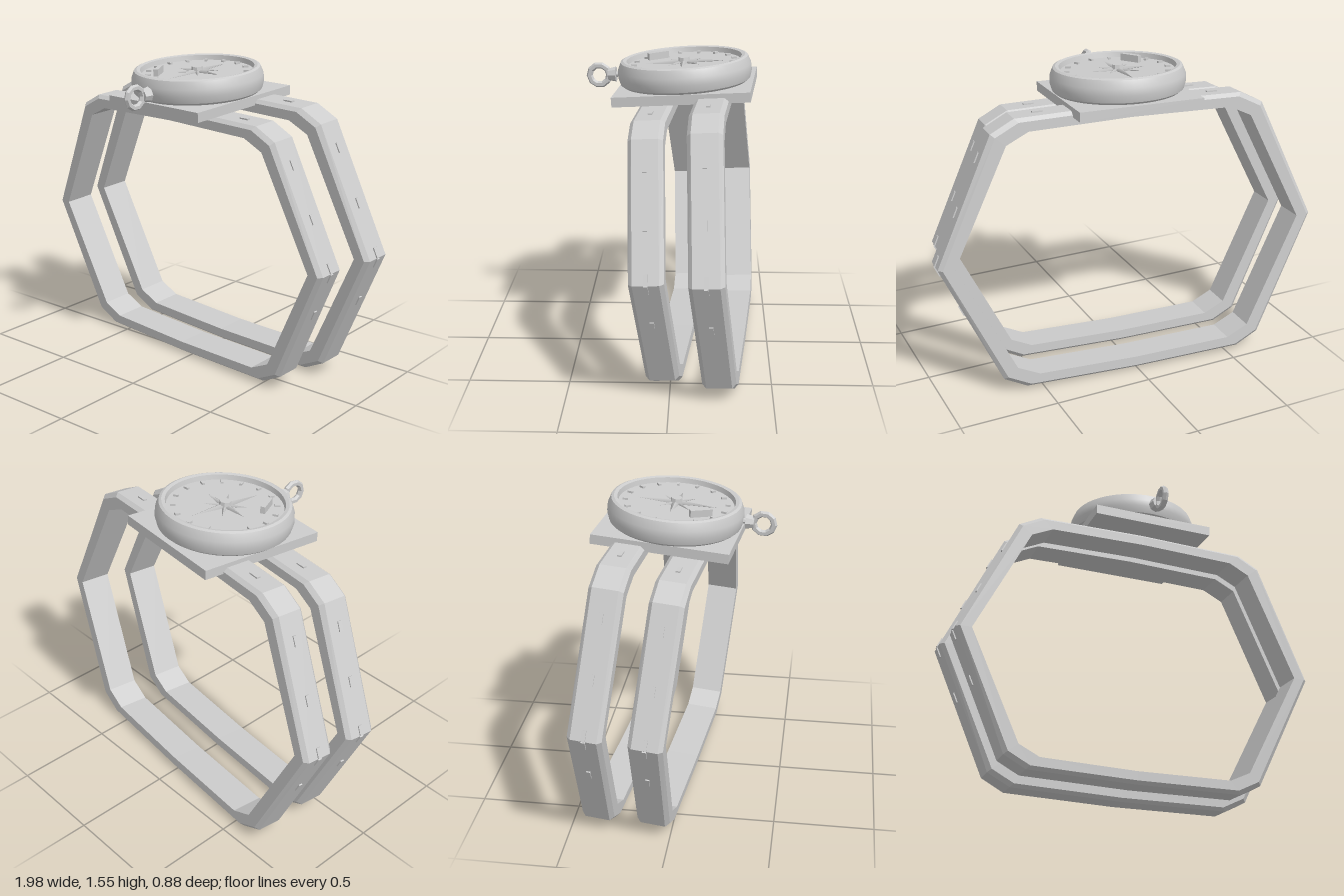
import * as THREE from 'three';
import { toCreasedNormals } from 'three/addons/utils/BufferGeometryUtils.js';

const YAW = -0.088, TILT = 0.065;

// Quarter outlines of a band, from its side tip to the middle of its top
const OUTER = [[0.945, 0], [0.668, 0.603], [0.555, 0.662], [0, 0.672]];
const INNER = [[0.868, 0], [0.602, 0.548], [0.495, 0.6], [0, 0.61]];

// Mirror a quarter outline into a counter-clockwise loop
function fullLoop(q) {
  const right = q.slice(0, 3), left = right.slice().reverse().map(([x, y]) => [-x, y]);
  const lower = left.slice(0, 2).reverse().map(([x, y]) => [x, -y]);
  return [
    ...right, q[3], ...left,
    ...right.slice(1).map(([x, y]) => [-x, -y]),
    [0, -q[3][1]],
    ...lower.map(([x, y]) => [-x, y]).reverse(),
  ].filter((p, i, a) => a.findIndex(o => o[0] === p[0] && o[1] === p[1]) === i);
}

// Band lofted around the loop with a chamfered cross-section
function bandGeometry() {
  const byAngle = (a, b) => Math.atan2(a[1], a[0]) - Math.atan2(b[1], b[0]);
  const outer = fullLoop(OUTER).sort(byAngle), inner = fullLoop(INNER).sort(byAngle);
  const w = 0.082;
  const section = [[0, -w], [0, w], [0.74, w], [1, w - 0.02], [1, 0.02 - w], [0.74, -w]];
  const n = outer.length, pos = [];
  const at = (i, j) => {
    const o = outer[i % n], k = inner[i % n], [t, z] = section[j % section.length];
    return [k[0] + (o[0] - k[0]) * t, k[1] + (o[1] - k[1]) * t, z];
  };
  for (let i = 0; i < n; i++) {
    for (let j = 0; j < section.length; j++) {
      const a = at(i, j), b = at(i + 1, j), c = at(i + 1, j + 1), d = at(i, j + 1);
      pos.push(...a, ...c, ...b, ...a, ...d, ...c);
    }
  }
  const g = new THREE.BufferGeometry();
  g.setAttribute('position', new THREE.Float32BufferAttribute(pos, 3));
  // Make sure the surface faces outward
  let volume = 0;
  const p = g.attributes.position, A = new THREE.Vector3(), B = new THREE.Vector3(), C = new THREE.Vector3();
  for (let i = 0; i < p.count; i += 3) {
    A.fromBufferAttribute(p, i); B.fromBufferAttribute(p, i + 1); C.fromBufferAttribute(p, i + 2);
    volume += A.dot(B.cross(C));
  }
  if (volume < 0) {
    for (let i = 0; i < p.count; i += 3) {
      B.fromBufferAttribute(p, i + 1); C.fromBufferAttribute(p, i + 2);
      p.setXYZ(i + 1, C.x, C.y, C.z); p.setXYZ(i + 2, B.x, B.y, B.z);
    }
  }
  g.computeVertexNormals();
  return g;
}

export function createModel() {
  const model = new THREE.Group();
  model.name = 'wristCompass';
  const metal = new THREE.MeshStandardMaterial({ color: 0xcccccc });
  metal.name = 'plain grey';

  const add = (parent, name, geometry, x = 0, y = 0, z = 0) => {
    const m = new THREE.Mesh(geometry, metal);
    m.name = name;
    m.position.set(x, y, z);
    parent.add(m);
    return m;
  };
  const tilted = (name, x, y, z) => {
    const g = new THREE.Group();
    g.name = name;
    g.position.set(x, y, z);
    g.rotation.set(TILT, YAW, 0, 'YXZ');
    model.add(g);
    return g;
  };

  // Two strap bands with small stitches
  const bandGeo = bandGeometry();
  const stitchGeo = new THREE.BoxGeometry(0.012, 0.05, 0.02);
  const [tip, corner] = OUTER;
  const slope = Math.atan2(tip[0] - corner[0], corner[1]);
  const addBand = (name, x, y, z, s) => {
    const band = tilted(name, x, y, z);
    band.scale.set(s, s, 1);
    add(band, 'strap', bandGeo);
    for (const side of [1, -1]) {
      for (const t of [0.81, 0.405, 0.04, -0.04, -0.4]) {
        const k = Math.abs(t);
        const m = add(band, 'sideStitch', stitchGeo,
          side * (tip[0] + (corner[0] - tip[0]) * k), corner[1] * t, 0);
        m.rotation.z = side * Math.sign(t) * slope;
      }
      add(band, 'topStitch', stitchGeo, side * 0.43, 0.665, 0).rotation.z = Math.PI / 2;
    }
  };
  addBand('frontBand', -0.045, 0.68, 0.015, 1);
  addBand('backBand', 0, 0.704, -0.26, 1.042);

  // Mounting plate
  const plate = tilted('plateMount', -0.03, 1.385, -0.068);
  add(plate, 'basePlate', new THREE.BoxGeometry(0.625, 0.048, 0.67));

  // Round case with a raised rim
  const compass = tilted('compass', -0.035, 1.4, -0.06);
  const profile = [[0.001, 0], [0.3, 0], [0.325, 0.02], [0.335, 0.055], [0.333, 0.09],
    [0.318, 0.128], [0.305, 0.134], [0.288, 0.13], [0.283, 0.105], [0.001, 0.105]]
    .map(([r, y]) => new THREE.Vector2(r, y));
  add(compass, 'case', toCreasedNormals(new THREE.LatheGeometry(profile, 48), 0.5));

  // Hour-like marks around the dial
  const markGeo = new THREE.BoxGeometry(0.014, 0.014, 0.026);
  for (let i = 0; i < 16; i++) {
    const a = (i + 0.5) * Math.PI / 8;
    add(compass, 'dialMark', markGeo, Math.sin(a) * 0.25, 0.108, Math.cos(a) * 0.25).rotation.y = a;
  }

  // Eight-pointed star with a hub
  for (let i = 0; i < 8; i++) {
    const length = i % 2 ? 0.115 : i % 4 ? 0.14 : 0.2;
    const ray = new THREE.ConeGeometry(i % 2 ? 0.016 : 0.024, length, 4);
    ray.translate(0, length / 2, 0).rotateX(Math.PI / 2).scale(1, 0.6, 1);
    add(compass, 'starRay', ray.toNonIndexed(), 0, 0.108, 0).rotation.y = i * Math.PI / 4;
  }
  add(compass, 'hub', toCreasedNormals(new THREE.CylinderGeometry(0.028, 0.032, 0.03, 8), 0.3), 0, 0.118, 0);

  // Small bar lying on the dial
  add(compass, 'dialBar', new THREE.BoxGeometry(0.024, 0.036, 0.11), -0.128, 0.122, 0.147).rotation.y = 0.55;

  // Hanging loop at the front
  const loop = tilted('hangingLoop', -0.07, 1.432, 0.376);
  const ring = new THREE.TorusGeometry(0.05, 0.016, 6, 10);
  ring.rotateY(Math.PI / 2);
  add(loop, 'ring', toCreasedNormals(ring, 0.3));
  const neck = new THREE.CylinderGeometry(0.038, 0.03, 0.04, 8);
  neck.rotateX(-Math.PI / 2);
  add(loop, 'neck', toCreasedNormals(neck, 0.3), 0, 0, -0.066);
  const stem = new THREE.CylinderGeometry(0.014, 0.014, 0.05, 8);
  stem.rotateX(Math.PI / 2);
  add(loop, 'stem', toCreasedNormals(stem, 0.3), 0, 0, -0.09);

  return model;
}
